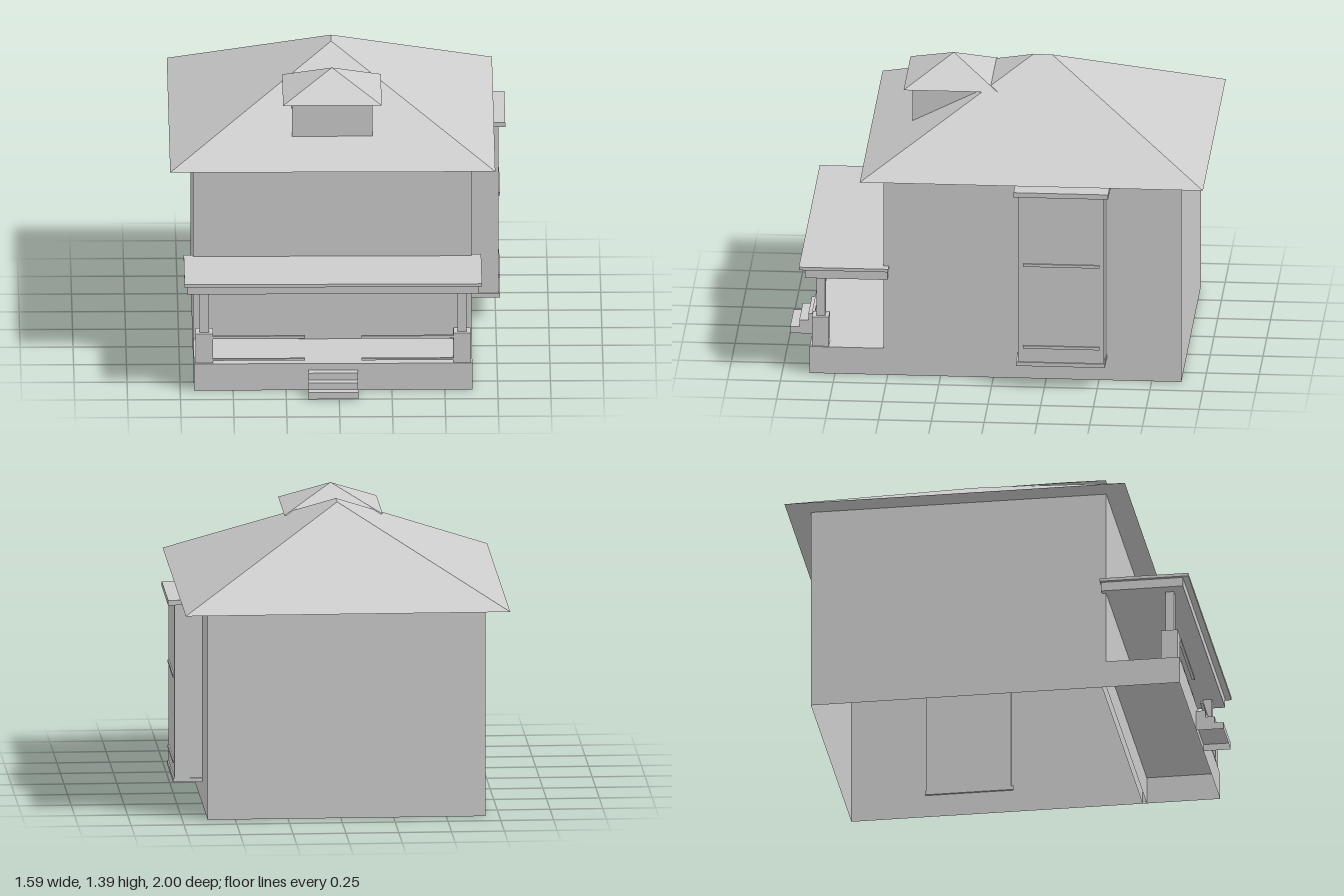
import * as THREE from 'three';

const plaster = new THREE.MeshStandardMaterial({ color: 0xcccccc, side: THREE.DoubleSide });
plaster.name = 'lightGrey';

// Box from its limits; faces listed in open (2 = top, 3 = bottom) are left out
function box(parent, name, [x0, x1], [y0, y1], [z0, z1], open = []) {
  const geo = new THREE.BoxGeometry(x1 - x0, y1 - y0, z1 - z0);
  if (open.length) {
    const index = Array.from(geo.index.array);
    geo.setIndex(index.filter((_, i) => !open.includes(Math.floor(i / 6))));
    geo.clearGroups();
  }
  geo.translate((x0 + x1) / 2, (y0 + y1) / 2, (z0 + z1) / 2);
  const mesh = new THREE.Mesh(geo, plaster);
  mesh.name = name;
  parent.add(mesh);
}

// Hip roof with a flat underside; ridge runs from zBack to zFront
function hipRoof(parent, name, [x0, x1], [y0, y1], [z0, z1], [zBack, zFront]) {
  const mid = (x0 + x1) / 2;
  const a = [x0, y0, z1], b = [x1, y0, z1], c = [x1, y0, z0], d = [x0, y0, z0];
  const f = [mid, y1, zFront], k = [mid, y1, zBack];
  const tris = [a, b, f, c, d, k, a, d, c, a, c, b];
  if (zBack === zFront) tris.push(b, c, k, d, a, f);
  else tris.push(b, c, k, b, k, f, d, a, f, d, f, k);
  const geo = new THREE.BufferGeometry();
  geo.setAttribute('position', new THREE.Float32BufferAttribute(tris.flat(), 3));
  geo.computeVertexNormals();
  const mesh = new THREE.Mesh(geo, plaster);
  mesh.name = name;
  parent.add(mesh);
}

function group(parent, name) {
  const g = new THREE.Group();
  g.name = name;
  parent.add(g);
  return g;
}

export function createModel() {
  const house = new THREE.Group();
  house.name = 'house';
  const width = [-0.685, 0.63];

  // Main walls and roof
  box(house, 'walls', width, [0, 1.005], [-0.89, 0.52], [2, 3]);
  hipRoof(house, 'mainRoof', [-0.795, 0.741], [1.005, 1.39], [-1, 0.625], [-0.232, -0.143]);

  // Dormer
  const dormer = group(house, 'dormer');
  box(dormer, 'dormerWalls', [-0.217, 0.163], [1.09, 1.28], [0.08, 0.415], [2, 3]);
  hipRoof(dormer, 'dormerRoof', [-0.26, 0.206], [1.278, 1.39], [0.01, 0.455], [0.233, 0.233]);

  // Porch base and roof
  const porch = group(house, 'porch');
  box(porch, 'porchBase', width, [0, 0.133], [0.5, 0.87], [3]);
  box(porch, 'porchBeam', [-0.715, 0.66], [0.488, 0.532], [0.5, 0.89]);
  box(porch, 'porchRoof', [-0.73, 0.675], [0.532, 0.547], [0.495, 0.918]);

  // Posts and rails on both sides of the entrance
  const centre = -0.0275;
  for (const s of [-1, 1]) {
    const span = (near, far) => [centre + s * near, centre + s * far].sort((p, q) => p - q);
    box(porch, 'pedestal', span(0.568, 0.65), [0.133, 0.28], [0.78, 0.86]);
    box(porch, 'post', span(0.587, 0.631), [0.28, 0.49], [0.798, 0.84]);
    box(porch, 'upperRail', span(0.133, 0.57), [0.256, 0.269], [0.852, 0.866]);
    box(porch, 'lowerRail', span(0.133, 0.57), [0.147, 0.156], [0.852, 0.866]);
  }

  // Entrance steps
  const steps = group(house, 'steps');
  for (let i = 0; i < 3; i++) {
    box(steps, 'step', [-0.145, 0.09], [i * 0.0333, (i + 1) * 0.0333], [0.87, 1 - i * 0.043], [3]);
  }

  // Side bay
  const bay = group(house, 'sideBay');
  box(bay, 'bayWalls', [0.62, 0.763], [0.125, 0.97], [-0.533, -0.126]);
  box(bay, 'bayCap', [0.62, 0.795], [0.968, 0.992], [-0.555, -0.107]);
  box(bay, 'bayBase', [0.62, 0.77], [0.112, 0.131], [-0.538, -0.116]);
  for (const y of [0.207, 0.618]) {
    box(bay, 'bayTrim', [0.76, 0.77], [y - 0.007, y + 0.007], [-0.512, -0.15]);
  }
  return house;
}
